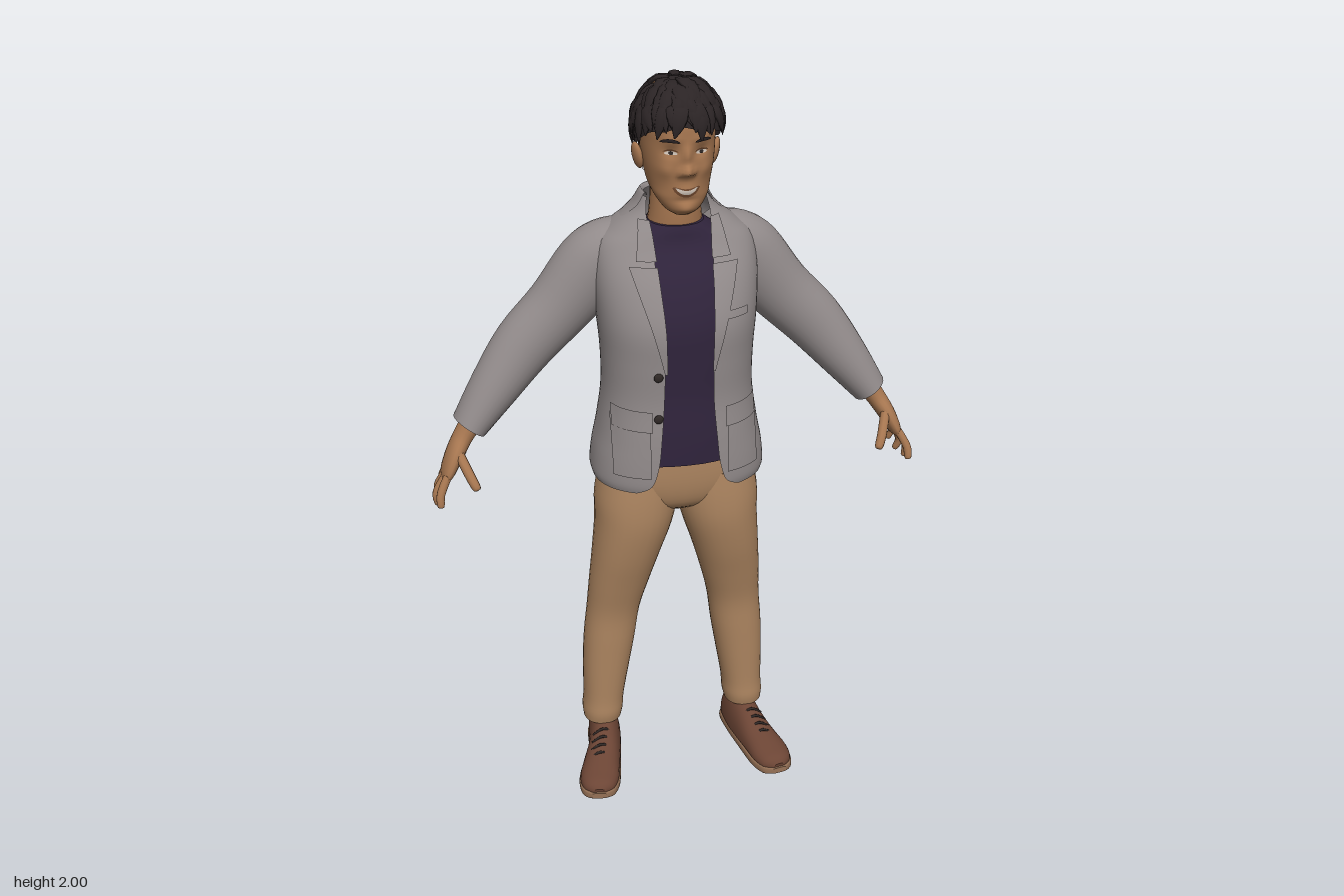
import * as THREE from 'three';

const mat = (name, color, side = THREE.FrontSide) => {
  const m = new THREE.MeshStandardMaterial({ color, side });
  m.name = name;
  return m;
};

// Catmull-Rom blend of cross-section stations
function sample(st, t) {
  const last = st.length - 1, i = Math.min(Math.floor(t), last - 1), f = t - i;
  const p = [i - 1, i, i + 1, i + 2].map(k => st[Math.max(0, Math.min(last, k))]);
  return p[1].map((b, c) => {
    const a = p[0][c], d = p[2][c], e = p[3][c];
    return b + 0.5 * f * (d - a + f * (2 * a - 5 * b + 4 * d - e + f * (3 * (b - d) + e - a)));
  });
}

// Surface through rows of points
function grid(rows, closed) {
  const n = rows[0].length, idx = [];
  for (let j = 0; j < rows.length - 1; j++)
    for (let i = 0; i < (closed ? n : n - 1); i++) {
      const a = j * n + i, b = j * n + (i + 1) % n;
      idx.push(a, b, b + n, a, b + n, a + n);
    }
  const g = new THREE.BufferGeometry();
  g.setAttribute('position', new THREE.Float32BufferAttribute(rows.flat(2), 3));
  g.setIndex(idx);
  g.computeVertexNormals();
  return g;
}

// Loft; station = [x, y, z, side radius, front radius, back radius, roundness, opening half-width]
function tube(st, { n = 24, k = 4, ref = [0, 0, 1], level = false, caps = true } = {}) {
  const rows = [], steps = (st.length - 1) * k, open = st[0].length > 7;
  const at = t => new THREE.Vector3(...sample(st, Math.max(0, Math.min(st.length - 1, t))));
  for (let j = 0; j <= steps; j++) {
    const t = j / k, s = sample(st, t), p = s[6] || 2;
    const T = level ? new THREE.Vector3(0, 1, 0) : at(t + 0.2).sub(at(t - 0.2)).normalize();
    const A = new THREE.Vector3(...ref).addScaledVector(T, -T.dot(new THREE.Vector3(...ref))).normalize();
    const B = T.clone().cross(A);
    const a0 = open ? Math.asin(Math.min(1, s[7] / s[3]) ** (p / 2)) : 0;
    const row = [];
    for (let i = 0; i < n; i++) {
      const a = open ? a0 + (2 * Math.PI - 2 * a0) * i / (n - 1) : 2 * Math.PI * i / n;
      const c = Math.cos(a), q = Math.sin(a);
      row.push(new THREE.Vector3(s[0], s[1], s[2])
        .addScaledVector(B, s[3] * Math.sign(q) * Math.abs(q) ** (2 / p))
        .addScaledVector(A, (c > 0 ? s[4] : s[5]) * Math.sign(c) * Math.abs(c) ** (2 / p)).toArray());
    }
    rows.push(row);
  }
  if (caps && !open) {
    const fill = q => Array(n).fill(q.slice(0, 3));
    rows.unshift(fill(st[0]), rows[0]);
    rows.push(rows[rows.length - 1], fill(st[st.length - 1]));
  }
  return grid(rows, !open);
}
const round = (pts, p = 2) => pts.map(([x, y, z, w, d]) => [x, y, z, w, d ?? w, d ?? w, p]);
const body = (pts, p) => pts.map(([x, y, zf, zb, w, cz = (zf + zb) / 2, h]) =>
  h === undefined ? [x, y, cz, w, zf - cz, cz - zb, p] : [x, y, cz, w, zf - cz, cz - zb, p, h]);

// Station of a level loft at height y, and thin plates laid on its front
function stationAt(st, y) {
  let lo = 0, hi = st.length - 1;
  for (let i = 0; i < 24; i++) { const m = (lo + hi) / 2; if (sample(st, m)[1] < y) lo = m; else hi = m; }
  return sample(st, lo);
}
function frontZ(st, x, y) {
  const s = stationAt(st, y);
  return s[2] + s[4] * Math.max(0, 1 - Math.abs(x / s[3]) ** s[6]) ** (1 / s[6]);
}
function patch(st, off, fn, nu = 8, nv = 8, bump = () => 0) {
  const rows = [];
  for (let j = 0; j <= nv; j++) {
    rows.push([]);
    for (let i = 0; i <= nu; i++) {
      const [x, y] = fn(i / nu, j / nv);
      rows[j].push([x, y, frontZ(st, x, y) + bump(x, y) + off]);
    }
  }
  return grid(rows, false);
}

function mirrored(geo) {
  const g = geo.clone().scale(-1, 1, 1), a = g.index.array;
  for (let i = 0; i < a.length; i += 3) [a[i], a[i + 1]] = [a[i + 1], a[i]];
  return g;
}

// Facial relief: [x, y, width, height, amount]
const relief = [[0, 1.828, .011, .024, .012], [0, 1.792, .013, .012, .028], [.016, 1.786, .008, .008, .010],
  [.037, 1.836, .018, .012, -.009], [.035, 1.866, .025, .009, .004], [.05, 1.79, .018, .018, .006],
  [0, 1.742, .024, .012, .005], [0, 1.695, .02, .014, .008], [0, 1.717, .025, .006, -.003]];
const faceBump = (x, y) => relief.reduce((s, [a, b, w, h, k]) =>
  s + k * Math.exp(-(((Math.abs(x) - a) / w) ** 2) - ((y - b) / h) ** 2), 0);

export function createModel() {
  const root = new THREE.Group();
  root.name = 'standingMan';
  const skin = mat('skin', 0xa67650), hair = mat('hair', 0x2b2425, THREE.DoubleSide);
  const cloth = mat('jacketGrey', 0x928b8b, THREE.DoubleSide), purple = mat('shirtPurple', 0x30243c);
  const tan = mat('trouserTan', 0xae8661), leather = mat('shoeBrown', 0x6c4535), soleTan = mat('soleTan', 0x8f6c52);
  const dark = mat('buttonDark', 0x2f2826), white = mat('eyeWhite', 0xd2c6ba, THREE.DoubleSide);
  const shade = mat('shadedSkin', 0x71492f, THREE.DoubleSide);
  const add = (name, geo, m) => { const o = new THREE.Mesh(geo, m); o.name = name; root.add(o); };
  const both = (name, geo, m) => { add(name + 'Left', geo, m); add(name + 'Right', mirrored(geo), m); };
  const ball = (x, y, z, sx, sy, sz) => new THREE.SphereGeometry(1, 14, 10).scale(sx, sy, sz).translate(x, y, z);

  // Head and neck
  const headSt = body([[0, 1.674, .085, .04, .022], [0, 1.69, .104, .005, .045], [0, 1.72, .11, -.035, .066],
    [0, 1.75, .112, -.065, .077, .01], [0, 1.80, .116, -.092, .086, .005], [0, 1.85, .118, -.106, .09, 0],
    [0, 1.90, .118, -.11, .09, 0], [0, 1.95, .095, -.095, .075, 0], [0, 1.98, .045, -.05, .04, 0]], 2.2);
  const head = tube(headSt, { n: 96, k: 7, level: true });
  const hp = head.attributes.position;
  for (let i = 0; i < hp.count; i++)
    if (hp.getZ(i) > .04) hp.setZ(i, hp.getZ(i) + faceBump(hp.getX(i), hp.getY(i)));
  head.computeVertexNormals();
  add('head', head, skin);
  add('neck', tube(body([[0, 1.57, .04, -.11, .08], [0, 1.65, .047, -.088, .066], [0, 1.72, .046, -.085, .062],
    [0, 1.80, .045, -.09, .064]], 2), { level: true }), skin);
  both('ear', ball(0, 0, 0, .011, .034, .021).rotateZ(-.2).rotateY(-.3).translate(.096, 1.802, -.004), skin);
  add('napeStubble', tube(body([[0, 1.765, .115, -.079, .083, .008, .083], [0, 1.80, .118, -.096, .089, .005, .089],
    [0, 1.84, .118, -.108, .093, 0, .093]], 2.2), { level: true, n: 30 }), shade);

  // Face details
  const face = (fn, off) => patch(headSt, off, fn, 12, 4, faceBump);
  const bow = (cx, cy, w, h, rise) => (u, v) => {
    const q = 2 * u - 1;
    return [cx + w * q, cy + rise * q * q + (v - .5) * 2 * h * Math.sqrt(Math.max(0, 1 - q * q))];
  };
  both('eye', face(bow(.037, 1.834, .015, .0045, -.001), .002), white);
  both('iris', face(bow(.037, 1.834, .0055, .0045, 0), .0035), dark);
  both('upperLid', face(bow(.037, 1.841, .018, .0022, -.004), .003), shade);
  both('eyebrow', face(bow(.04, 1.866, .023, .0045, -.005), .004), hair);
  add('lips', face(bow(0, 1.737, .034, .011, .013), .002), shade);
  add('teeth', face(bow(0, 1.739, .027, .0055, .011), .0035), white);

  // Hair cap with an uneven hairline, then overlapping locks
  const hairPoint = (a, th, k) => [.104 * k * Math.sin(a) * Math.sin(th) ** (th > 1.57 ? .4 : 1),
    1.872 + .115 * k * Math.cos(th), .004 + .127 * k * Math.cos(a) * Math.sin(th) ** (th > 1.57 ? .4 : 1)];
  const hairline = a => 1.82 - .47 * Math.cos(a) + .03 * Math.sin(9 * a);
  const capRows = [];
  for (let j = 14; j >= 0; j--) {
    capRows.push([]);
    for (let i = 0; i < 48; i++) {
      const a = i / 48 * Math.PI * 2;
      capRows[14 - j].push(hairPoint(a, .001 + hairline(a) * j / 14, 1));
    }
  }
  add('hairCap', grid(capRows, true), hair);
  let seed = 7;
  const rnd = () => (seed = (seed * 16807) % 2147483647) / 2147483647;
  for (let i = 0; i < 120; i++) {
    const a = i * 2.39996, front = Math.max(0, Math.cos(a));
    const t0 = .1 + rnd() * Math.max(.4, hairline(a) - .65), swirl = (rnd() - .35) * .7;
    const t1 = Math.min(t0 + .55 + rnd() * .35, hairline(a) + .3 * front * rnd() + .03);
    const lift = .03 + .04 * rnd() + .03 * front, w = .013 + .008 * rnd();
    const lock = [[0, 1, .5], [.35, 1 + lift, 1], [.7, 1 + lift * .9, .8], [1, 1.02 + lift * .5, .08]].map(([f, k, r]) =>
      [...hairPoint(a + swirl * f, t0 + (t1 - t0) * f, k), w * r, .006 * r]);
    const up = hairPoint(a + swirl / 2, (t0 + t1) / 2, 1);
    add('hairLock', tube(round(lock), { n: 7, k: 2, ref: [up[0], up[1] - 1.872, up[2]] }), hair);
  }

  // Shirt
  add('shirt', tube(body([[0, 1.015, .135, -.14, .19], [0, 1.1, .135, -.13, .18], [0, 1.2, .13, -.12, .165],
    [0, 1.3, .133, -.125, .17], [0, 1.4, .132, -.135, .175], [0, 1.5, .104, -.135, .17], [0, 1.58, .064, -.12, .14],
    [0, 1.62, .056, -.1, .09], [0, 1.635, .052, -.09, .07]], 2.3), { n: 36, level: true }), purple);

  // Jacket body, open down the front
  const coat = body([[0, .952, .163, -.18, .226, -.01, .135], [0, .975, .167, -.18, .23, -.01, .098],
    [0, 1.03, .167, -.172, .224, -.01, .08], [0, 1.1, .164, -.16, .21, -.01, .072], [0, 1.2, .156, -.147, .196, -.01, .064],
    [0, 1.3, .16, -.152, .196, -.01, .062], [0, 1.4, .16, -.17, .204, -.015, .064], [0, 1.5, .125, -.175, .21, -.03, .07],
    [0, 1.58, .078, -.163, .2, -.045, .074], [0, 1.62, .06, -.15, .16, -.05, .077], [0, 1.66, .04, -.13, .106, -.045, .08],
    [0, 1.695, .025, -.108, .082, -.04, .074]], 2.4);
  add('jacketBody', tube(coat, { n: 64, k: 5, level: true }), cloth);
  add('jacketCollar', tube(body([[0, 1.635, .03, -.15, .138, -.05, .137], [0, 1.67, .035, -.132, .104, -.045, .098],
    [0, 1.705, .03, -.112, .083, -.04, .077], [0, 1.695, .025, -.1, .074, -.04, .07]], 2.2), { n: 36, level: true }), cloth);
  const strip = (y0, y1, w0, w1) => (u, v) => {
    const y = y0 + (y1 - y0) * v;
    return [stationAt(coat, y)[7] - .004 + (w0 + (w1 - w0) * v) * u, y];
  };
  both('lapel', patch(coat, .008, strip(1.29, 1.55, .006, .068), 6, 12), cloth);
  both('collarLeaf', patch(coat, .009, strip(1.562, 1.65, .05, .026), 6, 8), cloth);
  const rect = (x0, x1, y0, y1) => (u, v) => [x0 + (x1 - x0) * u, y0 + (y1 - y0) * v];
  both('pocket', patch(coat, .005, rect(.1, .19, 1.0, 1.16)), cloth);
  both('pocketFlap', patch(coat, .009, rect(.095, .188, 1.13, 1.185)), cloth);
  add('breastPocket', patch(coat, .006, rect(.1, .155, 1.42, 1.44)), cloth);
  for (const y of [1.165, 1.28])
    add('jacketButton', ball(-.079, y, frontZ(coat, .079, y) + .003, .012, .012, .006), dark);

  // Sleeves
  both('sleeve', tube(round([[.1, 1.585, -.06, .05, .07], [.15, 1.55, -.068, .083, .085], [.2, 1.502, -.074, .097, .087],
    [.29, 1.4, -.075, .085, .077], [.385, 1.305, -.068, .079, .072], [.47, 1.2, -.05, .064, .066],
    [.54, 1.107, -.035, .047, .06]]), { n: 28 }), cloth);
  for (let i = 0; i < 3; i++)
    both('cuffButton', ball(.53 - i * .017, 1.135 + i * .024, -.096 - i * .005, .007, .007, .007), dark);

  // Hands
  both('palm', tube(round([[.525, 1.13, -.035, .03, .036], [.56, 1.08, -.025, .026, .034], [.585, 1.04, -.008, .023, .045],
    [.605, 1.0, 0, .018, .047], [.614, .982, .002, .01, .038]]), { n: 18 }), skin);
  const finger = (name, a, b, c, r) => both(name, tube(round([[...a, r], [...b, r], [...c, r * .85],
    [...c.map((q, i) => q + (c[i] - b[i]) * .18), r * .25]]), { n: 10 }), skin);
  finger('indexFinger', [.608, 1.0, .034], [.629, .96, .051], [.632, .93, .06], .011);
  finger('middleFinger', [.61, .995, .012], [.638, .95, .018], [.637, .918, .019], .011);
  finger('ringFinger', [.608, .995, -.012], [.633, .95, -.019], [.627, .918, -.026], .0105);
  finger('littleFinger', [.602, 1.0, -.034], [.62, .965, -.045], [.614, .938, -.052], .009);
  finger('thumb', [.575, 1.055, .015], [.553, 1.01, .06], [.539, .982, .08], .013);

  // Trousers
  add('trouserHips', tube(body([[0, .835, .04, -.07, .05], [0, .87, .085, -.115, .16], [0, .93, .105, -.13, .214],
    [0, 1.02, .11, -.135, .208], [0, 1.1, .105, -.12, .18]], 2.3), { n: 36, level: true }), tan);
  both('trouserLeg', tube(body([[.211, .12, .002, -.118, .054], [.209, .15, .008, -.126, .058], [.205, .2, .008, -.124, .058],
    [.196, .3, .014, -.127, .066], [.185, .4, .02, -.126, .072], [.173, .5, .027, -.12, .074], [.157, .6, .052, -.111, .083],
    [.138, .7, .08, -.115, .093], [.118, .8, .1, -.122, .105], [.11, .88, .104, -.13, .111], [.105, .96, .1, -.128, .1]], 2.2),
    { n: 32, level: true }), tan);

  // Shoes: upper, sole, heel and laces, toes turned out
  const up = { n: 24, ref: [0, 1, 0] };
  both('shoeUpper', tube([[.199, .03, -.126, .02, .05, .012, 2.2], [.201, .03, -.112, .041, .085, .014, 2.2],
    [.207, .03, -.05, .047, .105, .014, 2.2], [.217, .03, .01, .047, .088, .014, 2.2], [.236, .028, .07, .052, .056, .012, 2.2],
    [.252, .026, .125, .055, .038, .012, 2.2], [.26, .024, .165, .043, .027, .01, 2.2], [.263, .022, .182, .018, .012, .006, 2.2]], up), leather);
  both('shoeSole', tube(round([[.199, .012, -.13, .022, .01], [.201, .012, -.113, .045, .012], [.209, .012, -.04, .047, .012],
    [.222, .012, .02, .05, .012], [.24, .012, .08, .057, .012], [.253, .012, .13, .058, .012], [.261, .012, .17, .045, .012],
    [.264, .014, .188, .02, .008]], 6), up), soleTan);
  for (let i = 0; i < 4; i++) {
    const x = .221 + i * .0065, y = .116 - i * .0115, z = .018 + i * .02;
    both('shoeLace', tube(round([[x - .03, y - .019, z, .003], [x, y, z + .003, .004], [x + .03, y - .019, z, .003]]),
      { n: 6, ref: [0, 0, 1] }), dark);
  }
  return root;
}
